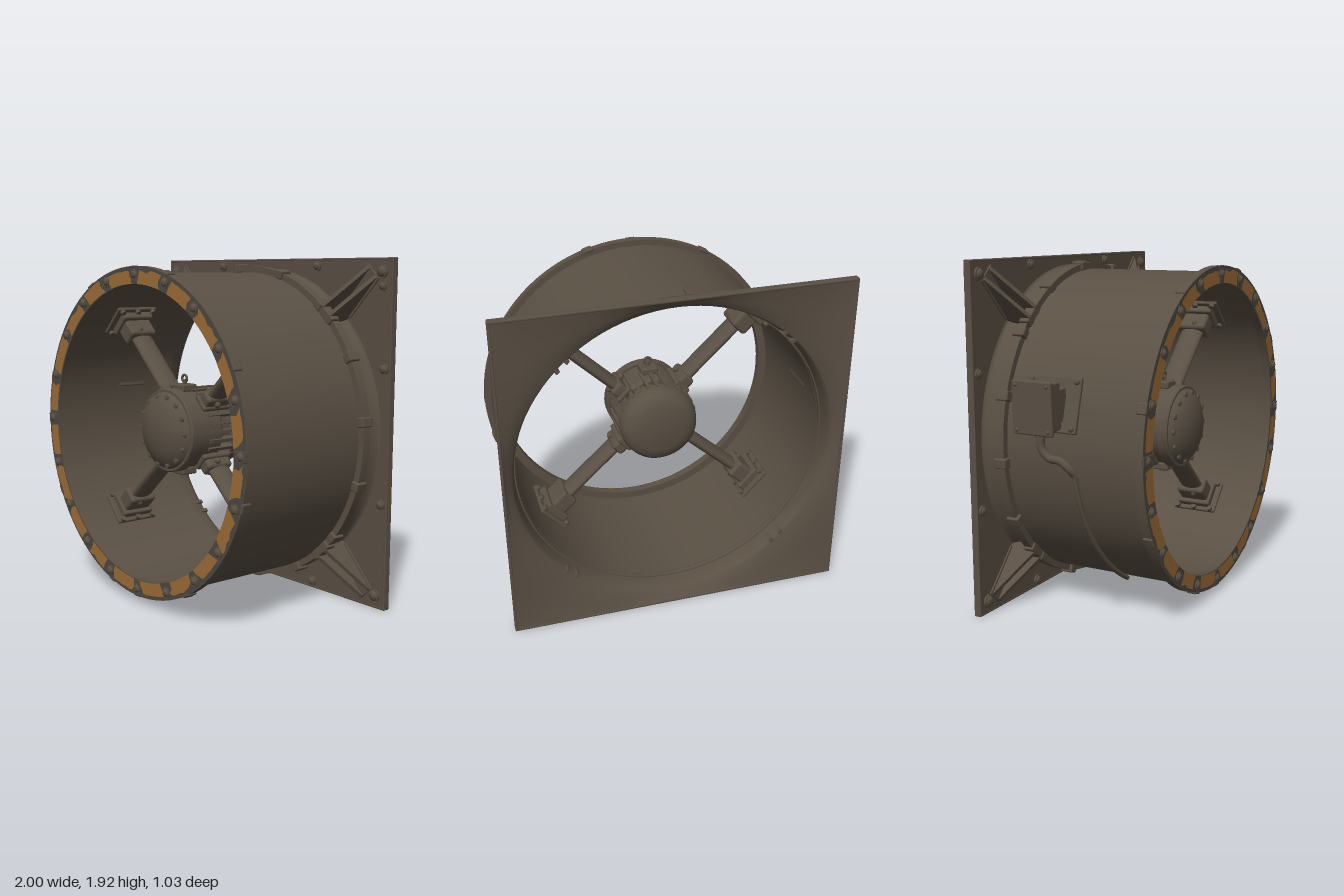
import * as THREE from 'three';
import { toCreasedNormals } from 'three/addons/utils/BufferGeometryUtils.js';
import { RoundedBoxGeometry } from 'three/addons/geometries/RoundedBoxGeometry.js';

const mat = (name, color) => {
  const m = new THREE.MeshStandardMaterial({ color, side: THREE.DoubleSide });
  m.name = name;
  return m;
};

export function createModel() {
  const metal = mat('brown metal', 0x5a5044);
  const grey = mat('worn grey', 0x4c4843);
  const orange = mat('faded orange', 0x9c6c35);
  const TAU = Math.PI * 2, DEG = Math.PI / 180;

  const root = new THREE.Group();
  const fan = new THREE.Group();
  fan.name = 'fan';
  fan.position.set(0.031, 0.97, 0);
  root.add(fan);

  let seed = 7;
  const rand = () => (seed = (seed * 16807) % 2147483647) / 2147483647;

  const add = (parent, name, geo, x = 0, y = 0, z = 0, m = metal) => {
    const mesh = new THREE.Mesh(geo, m);
    mesh.name = name;
    mesh.position.set(x, y, z);
    parent.add(mesh);
    return mesh;
  };
  // Profile of [radius, z] turned around the z axis
  const turned = (pts, seg = 96) => toCreasedNormals(
    new THREE.LatheGeometry(pts.map(p => new THREE.Vector2(...p)), seg).rotateX(Math.PI / 2), 0.6);
  const ringBar = (r0, r1, z0, z1) => turned([[r0, z0], [r1, z0], [r1, z1], [r0, z1], [r0, z0]]);
  const box = (w, h, d, r = 0.008) => new RoundedBoxGeometry(w, h, d, 2, r);
  const rod = (r, len, seg = 16) => new THREE.CylinderGeometry(r, r, len, seg);
  // Domed bolt facing +z
  const bolt = (parent, x, y, z, r) => {
    add(parent, 'boltHead', new THREE.SphereGeometry(r, 12, 8), x, y, z).scale.z = 0.7;
    add(parent, 'boltWasher', rod(r * 1.2, 0.012, 12).rotateX(Math.PI / 2), x, y, z);
  };
  // Group whose +x axis points outward at an angle
  const spoke = (name, a) => {
    const g = new THREE.Group();
    g.name = name;
    g.rotation.z = a;
    fan.add(g);
    return g;
  };

  // Casing and flanges
  add(fan, 'casing', turned([[0.868, 0.47], [0.868, -0.34], [0.882, -0.34], [0.882, 0.47], [0.868, 0.47]]));
  add(fan, 'frontRing', ringBar(0.82, 0.916, 0.455, 0.5));
  add(fan, 'rearFlange', ringBar(0.87, 0.918, -0.37, -0.32));
  add(fan, 'ringFace', new THREE.RingGeometry(0.82, 0.915, 96), 0, 0, 0.503, grey);

  // Worn paint patches, straps and bolts around the front ring
  for (let i = 0; i < 20; i++) {
    const mid = (i + 0.5) * 18 * DEG, half = (5.2 + rand() * 1.8) * DEG;
    const skew = (rand() - 0.5) * 3 * DEG;
    const outer = 0.905 - rand() * 0.012;
    const pts = [];
    const put = (r, a) => pts.push(new THREE.Vector2(r * Math.cos(a), r * Math.sin(a)));
    for (let k = 0; k <= 6; k++)
      put(outer - (rand() < 0.3 ? 0.018 : 0.004) * rand(), mid + skew + half * (k / 3 - 1));
    put(0.865, mid + half * (0.8 + rand() * 0.4));
    for (let k = 6; k >= 0; k--) put(0.821, mid - skew + half * (k / 3 - 1) * 1.1);
    put(0.86, mid - half * (0.8 + rand() * 0.4));
    add(fan, 'paintPatch', new THREE.ShapeGeometry(new THREE.Shape(pts)), 0, 0, 0.506, orange);
    const a = i * 18 * DEG;
    bolt(fan, 0.872 * Math.cos(a), 0.872 * Math.sin(a), 0.503, 0.025);
    if (i % 5 === 0) add(spoke('ringStrap', a), 'strap', box(0.095, 0.055, 0.012, 0.004), 0.87, 0, 0.502, grey);
  }

  // Clamps over both flanges
  for (let i = 0; i < 16; i++) {
    const g = spoke('flangeClamps', (i * 22.5 + 6) * DEG);
    if (i % 2) add(g, 'frontClamp', box(0.02, 0.06, 0.056), 0.915, 0, 0.476);
    add(g, 'rearClamp', box(0.05, 0.055, 0.075), 0.908, 0, -0.342);
  }

  // Back plate: flat front sheet, dished back sheet and bell mouth into the casing
  const sheet = new THREE.Shape([[-1, -1], [1, -1], [1, 1], [-1, 1]]
    .map(([x, y]) => new THREE.Vector2(x * 0.955, y * 0.955)));
  sheet.holes.push(new THREE.Path().absarc(0, 0, 0.905, 0, TAU));
  add(fan, 'frontSheet', new THREE.ShapeGeometry(sheet, 64), 0, 0, -0.47);

  const N = 96, M = 5, pos = [], idx = [];
  const bell = [[0.905, -0.47], [0.895, -0.455], [0.886, -0.43], [0.879, -0.39], [0.874, -0.33]];
  for (let j = 0; j < M + bell.length; j++) for (let i = 0; i < N; i++) {
    const c = Math.cos(i * TAU / N), s = Math.sin(i * TAU / N), t = j / M;
    const edge = 0.955 / Math.max(Math.abs(c), Math.abs(s));
    const [r, z] = j < M
      ? [THREE.MathUtils.lerp(edge, 0.925, t), -0.51 + 0.03 * t]
      : bell[j - M];
    pos.push(r * c, r * s, z);
    if (j > 0) {
      const a = (j - 1) * N + i, b = (j - 1) * N + (i + 1) % N;
      idx.push(a, a + N, b, b, a + N, b + N);
    }
  }
  const funnel = new THREE.BufferGeometry();
  funnel.setAttribute('position', new THREE.Float32BufferAttribute(pos, 3));
  funnel.setIndex(idx);
  funnel.computeVertexNormals();
  add(fan, 'inletFunnel', funnel);
  for (let k = 0; k < 4; k++)
    add(spoke('plateEdge', k * Math.PI / 2), 'edgeStrip', box(0.014, 1.92, 0.042, 0.005), 0.953, 0, -0.49);

  // Plate bolts
  for (const sx of [-1, 1]) for (const sy of [-1, 1]) {
    bolt(fan, sx * 0.89, sy * 0.887, -0.465, 0.031);
    bolt(fan, sx * 0.41, sy * 0.918, -0.465, 0.025);
    bolt(fan, sx * 0.918, sy * 0.37, -0.465, 0.025);
  }
  bolt(fan, 0.895, 0.81, -0.465, 0.022);

  // Corner gussets
  const tri = new THREE.Shape([[0.88, -0.47], [1.22, -0.47], [1.21, -0.455], [0.93, -0.31], [0.88, -0.31]]
    .map(p => new THREE.Vector2(...p)));
  const gusset = new THREE.ExtrudeGeometry(tri, { depth: 0.022, bevelEnabled: false });
  gusset.rotateX(Math.PI / 2); // shape y becomes z
  for (const a of [47, 133, 227, 313]) {
    const g = spoke('cornerGusset', a * DEG);
    for (const y of [-0.025, 0.047]) add(g, 'gussetWeb', gusset, 0, y, 0);
    add(g, 'gussetFoot', box(0.3, 0.12, 0.01, 0.004), 1.07, 0, -0.464);
    add(g, 'gussetHead', box(0.05, 0.14, 0.06), 0.905, 0, -0.34);
  }

  // Motor: front housing, dome, body, rear cover
  const motor = new THREE.Group();
  motor.name = 'motor';
  fan.add(motor);
  motor.position.set(-0.006, 0.003, 0);
  add(motor, 'motorHousing', turned([[0, 0.05], [0.205, 0.05], [0.22, 0.07], [0.22, 0.24], [0, 0.24]], 48));
  add(motor, 'motorFlange', turned([[0, 0.23], [0.236, 0.23], [0.236, 0.285], [0.23, 0.293], [0.2, 0.293]], 48));
  add(motor, 'motorDome', turned([[0.218, 0.29], [0.212, 0.303], [0.18, 0.328], [0.135, 0.35], [0.08, 0.364], [0, 0.37]], 48));
  add(motor, 'motorBody', rod(0.19, 0.2, 40).rotateX(Math.PI / 2), 0, 0, 0);
  add(motor, 'rearCover', turned([[0.19, -0.02], [0.226, -0.025], [0.226, -0.07], [0.215, -0.11], [0.188, -0.138], [0.14, -0.152], [0, -0.158]], 48));
  for (let i = 0; i < 28; i++) {
    const a = i * TAU / 28, c = Math.cos(a), s = Math.sin(a);
    add(motor, 'coolingFin', new THREE.BoxGeometry(0.06, 0.018, 0.2), 0.203 * c, 0.203 * s, 0.05).rotation.z = a;
    if (i % 2 === 0) bolt(motor, 0.195 * c, 0.195 * s, 0.318, 0.013);
  }
  // Lifting eye and drain block
  add(motor, 'eyeBase', box(0.1, 0.04, 0.1), 0, 0.235, 0.16);
  add(motor, 'eyeStem', rod(0.012, 0.04), 0, 0.26, 0.16);
  add(motor, 'liftingEye', new THREE.TorusGeometry(0.021, 0.007, 8, 24), 0, 0.285, 0.16);
  add(motor, 'drainBlock', box(0.1, 0.04, 0.1), 0, -0.24, 0.16);
  add(motor, 'drainPlug', rod(0.025, 0.03), 0, -0.26, 0.16);

  // Four support arms with sockets and bolted wall pads
  for (const a of [44, 136, 222, 317]) {
    const g = spoke('supportArm', a * DEG);
    const blade = rod(0.034, 0.66, 24).rotateZ(Math.PI / 2);
    add(g, 'armBlade', blade, 0.52, 0, 0.1).scale.z = 2.1;
    add(g, 'hubSocket', box(0.1, 0.085, 0.17, 0.02), 0.26, 0, 0.1);
    add(g, 'hubCollar', box(0.03, 0.11, 0.19, 0.012), 0.24, 0, 0.1);
    add(g, 'wallSocket', box(0.15, 0.11, 0.18, 0.02), 0.77, 0, 0.1);
    add(g, 'socketBase', box(0.05, 0.16, 0.21, 0.012), 0.825, 0, 0.1);
    add(g, 'wallPad', box(0.022, 0.21, 0.28), 0.854, 0, 0.1);
    for (const s of [-1, 1]) {
      for (const r of [0.28, 0.73])
        add(g, 'socketBolt', new THREE.SphereGeometry(0.018, 10, 8), r, s * 0.05, 0.12);
      for (const dz of [-0.11, 0, 0.11])
        add(g, 'padBolt', rod(0.016, 0.03, 10).rotateZ(Math.PI / 2), 0.838, s * 0.09, 0.1 + dz);
    }
  }

  // Terminal box on the model's right side, its mount tangent to the casing
  const mount = spoke('terminalMount', 164.5 * DEG);
  add(mount, 'mountPlate', box(0.024, 0.29, 0.32), 0.888, 0, -0.05);
  for (const y of [-0.12, 0.12]) for (const z of [-0.185, 0.085])
    add(mount, 'mountScrew', new THREE.SphereGeometry(0.016, 8, 6), 0.902, y, z);
  const terminal = new THREE.Group();
  terminal.name = 'terminalBox';
  terminal.position.set(-0.965, 0.24, -0.07);
  terminal.rotation.z = 0.04;
  fan.add(terminal);
  add(terminal, 'boxNeck', box(0.09, 0.17, 0.2), 0.07, 0, 0);
  add(terminal, 'boxBody', box(0.1, 0.25, 0.2, 0.012), 0.012, 0, 0);
  add(terminal, 'boxLid', box(0.026, 0.28, 0.235, 0.01), -0.044, 0, 0);
  for (const sy of [-1, 1]) for (const sz of [-1, 1])
    add(terminal, 'lidScrew', new THREE.SphereGeometry(0.011, 8, 6), -0.055, sy * 0.115, sz * 0.092);
  add(terminal, 'cableGland', rod(0.032, 0.05, 8), 0.02, -0.14, 0);
  const curve = pts => new THREE.CatmullRomCurve3(pts.map(p => new THREE.Vector3(...p)));
  add(terminal, 'conduit', new THREE.TubeGeometry(curve(
    [[0.02, -0.13, 0], [0.02, -0.22, 0], [0.025, -0.27, 0.04], [0.03, -0.28, 0.1], [0.04, -0.32, 0.15], [0.065, -0.36, 0.17]]), 32, 0.022, 12));

  // Cable following the casing underside
  const cable = [];
  for (let d = 187; d <= 245; d += 6)
    cable.push([0.905 * Math.cos(d * DEG), 0.905 * Math.sin(d * DEG), 0.1 + (d - 187) * 0.001]);
  add(fan, 'casingCable', new THREE.TubeGeometry(curve(cable), 40, 0.014, 8));

  return root;
}
